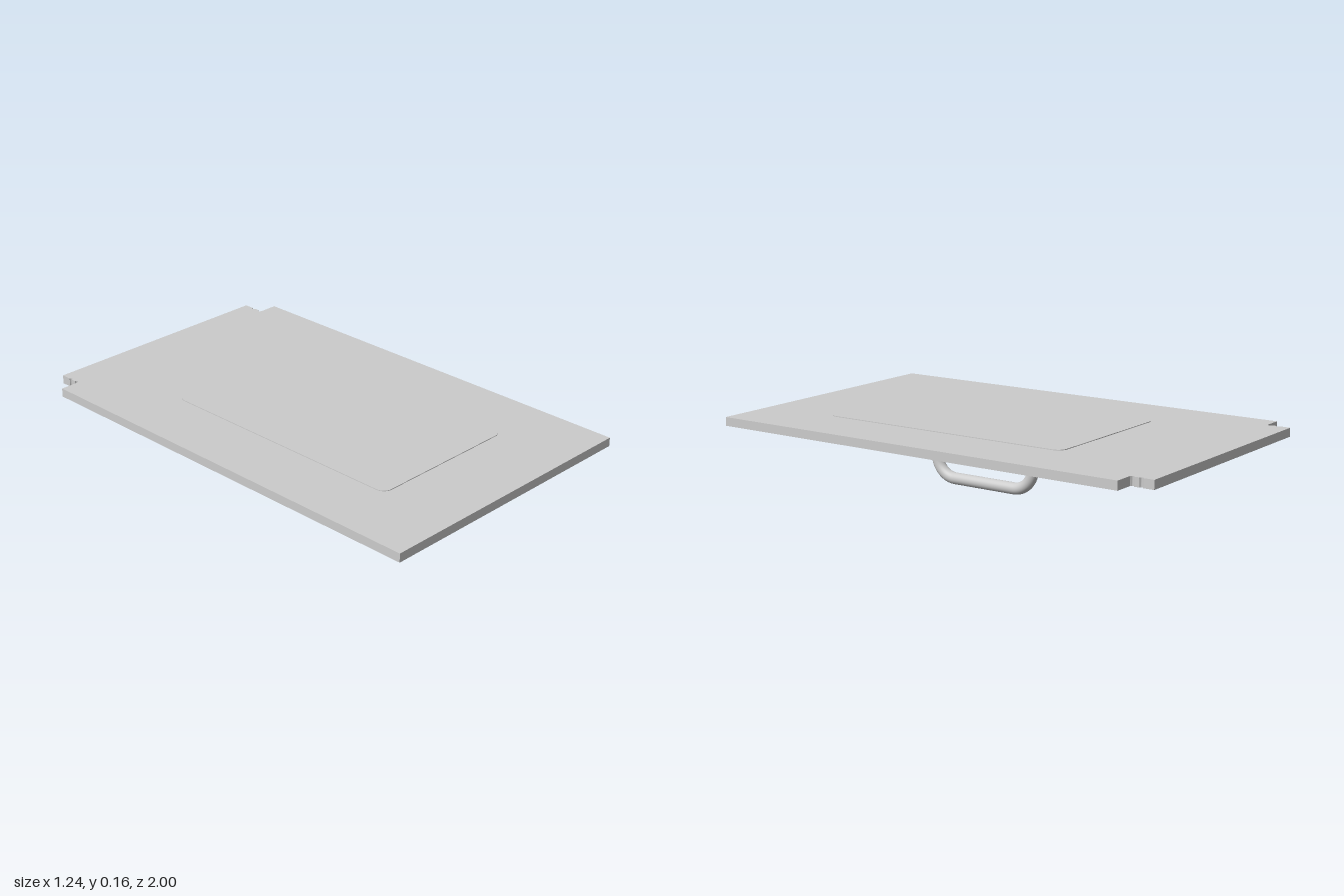
import * as THREE from 'three';

const BOTTOM = 0.12, TOP = 0.157;
const PANE = { x0: -0.339, x1: 0.351, z0: -0.485, z1: 0.67, r: 0.04 };

const grey = () => new THREE.MeshStandardMaterial({ color: 0xcccccc });

// Rounded rectangle in plan; the shape's y is -z
function roundedRect(target, { x0, x1, z0, z1, r }) {
  const y0 = -z1, y1 = -z0;
  target.moveTo(x0 + r, y0);
  target.lineTo(x1 - r, y0);
  target.absarc(x1 - r, y0 + r, r, -Math.PI / 2, 0, false);
  target.lineTo(x1, y1 - r);
  target.absarc(x1 - r, y1 - r, r, 0, Math.PI / 2, false);
  target.lineTo(x0 + r, y1);
  target.absarc(x0 + r, y1 - r, r, Math.PI / 2, Math.PI, false);
  target.lineTo(x0, y0 + r);
  target.absarc(x0 + r, y0 + r, r, Math.PI, Math.PI * 1.5, false);
  return target;
}

// Plan shape extruded upwards from y0 to y1
function slab(name, shape, y0, y1) {
  const geo = new THREE.ExtrudeGeometry(shape, { depth: y1 - y0, bevelEnabled: false, curveSegments: 8 });
  geo.rotateX(-Math.PI / 2).translate(0, y0, 0);
  const mesh = new THREE.Mesh(geo, grey());
  mesh.name = name;
  return mesh;
}

// Door outline: notched hinge corners, each with two small round grooves
function doorOutline() {
  const w = 0.618, t = 0.535, r = 0.008;
  const s = new THREE.Shape();
  s.moveTo(-w, -1);
  s.lineTo(w, -1);
  s.lineTo(w, 0.9);
  s.lineTo(t, 0.9);
  for (const y of [0.91, 0.947]) {
    s.lineTo(t, y - r);
    s.absarc(t, y, r, -Math.PI / 2, -Math.PI * 1.5, true);
  }
  s.lineTo(t, 1);
  s.lineTo(-t, 1);
  for (const y of [0.947, 0.91]) {
    s.lineTo(-t, y + r);
    s.absarc(-t, y, r, Math.PI / 2, -Math.PI / 2, true);
  }
  s.lineTo(-t, 0.9);
  s.lineTo(-w, 0.9);
  s.closePath();
  return s;
}

// Bent-rod handle under the door
function handle() {
  const x = 0.483, r = 0.023, bend = 0.085, zA = 0, zB = -0.446;
  const v = (y, z) => new THREE.Vector3(x, y, z);
  const k = bend * 0.448;
  const path = new THREE.CurvePath();
  path.add(new THREE.LineCurve3(v(BOTTOM + 0.002, zA), v(r + bend, zA)));
  path.add(new THREE.CubicBezierCurve3(v(r + bend, zA), v(r + k, zA), v(r, zA - k), v(r, zA - bend)));
  path.add(new THREE.LineCurve3(v(r, zA - bend), v(r, zB + bend)));
  path.add(new THREE.CubicBezierCurve3(v(r, zB + bend), v(r, zB + k), v(r + k, zB), v(r + bend, zB)));
  path.add(new THREE.LineCurve3(v(r + bend, zB), v(BOTTOM + 0.002, zB)));
  const mesh = new THREE.Mesh(new THREE.TubeGeometry(path, 96, r, 24), grey());
  mesh.name = 'handle';
  return mesh;
}

export function createModel() {
  const model = new THREE.Group();
  model.name = 'door';

  // Door panel with a window opening
  const outline = doorOutline();
  outline.holes.push(roundedRect(new THREE.Path(), PANE));
  model.add(slab('doorPanel', outline, BOTTOM, TOP));

  // Window pane, slightly proud on top and recessed underneath
  model.add(slab('windowPane', roundedRect(new THREE.Shape(), PANE), 0.148, 0.16));

  model.add(handle());
  return model;
}
